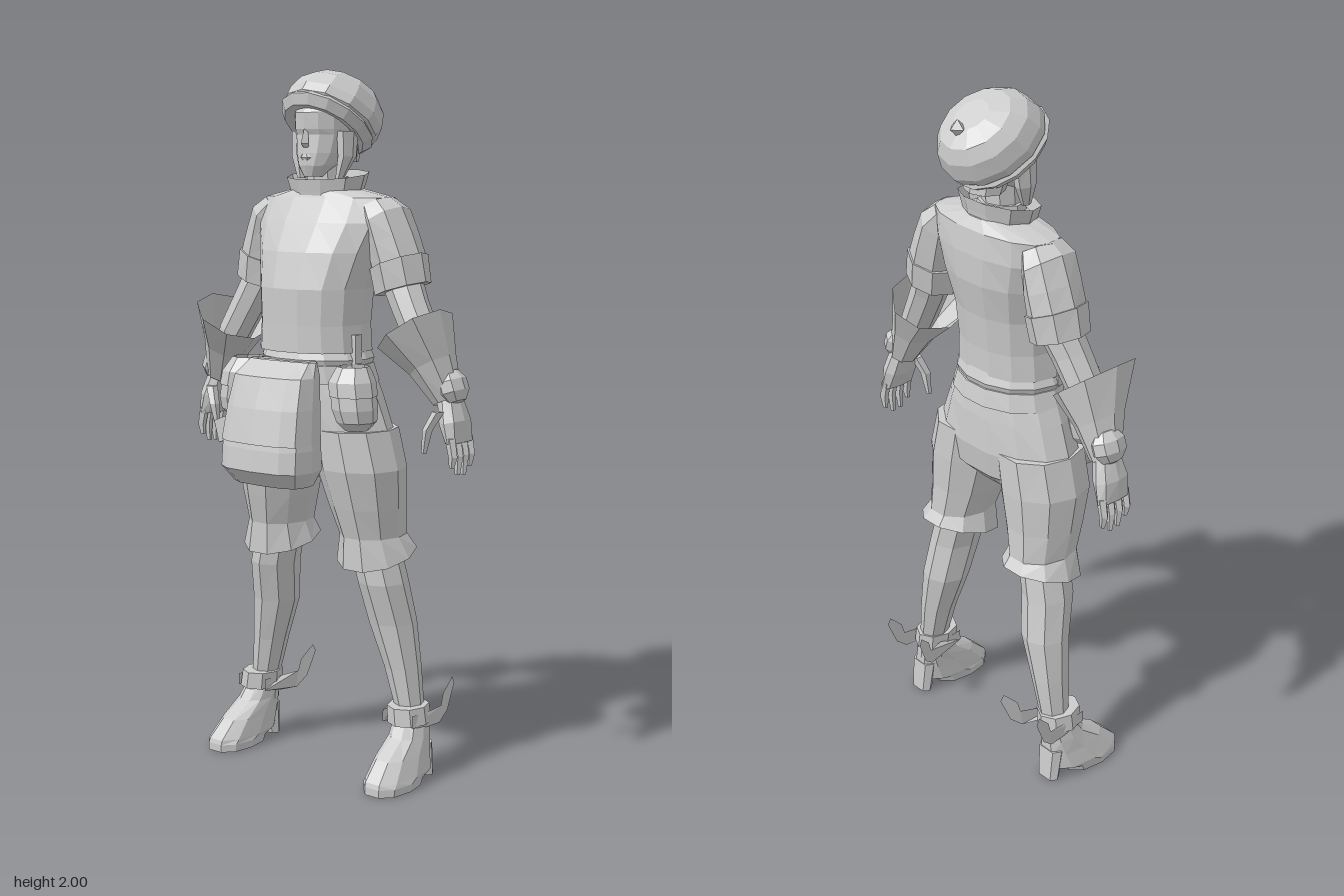
import * as THREE from 'three';

const clay = new THREE.MeshStandardMaterial({ color: 0xcccccc, flatShading: true, side: THREE.DoubleSide });
clay.name = 'light grey';

function add(group, name, geometry) {
  const mesh = new THREE.Mesh(geometry, clay);
  mesh.name = name;
  group.add(mesh);
}

// Skin through rings listed top to bottom: [x, y, z, rx, rz, tiltZ, tiltX]; power < 1 squares the ring
function loft(rings, n = 8, { power = 1, caps = true } = {}) {
  const pos = [], idx = [];
  const bend = v => Math.abs(v) < 1e-6 ? 0 : Math.sign(v) * Math.abs(v) ** power;
  for (const [x, y, z, rx, rz, tz = 0, tx = 0] of rings) {
    for (let i = 0; i < n; i++) {
      const a = i / n * Math.PI * 2;
      const p = new THREE.Vector3(rx * bend(Math.cos(a)), 0, rz * bend(Math.sin(a)));
      p.applyEuler(new THREE.Euler(tx, 0, tz));
      pos.push(x + p.x, y + p.y, z + p.z);
    }
  }
  const last = (rings.length - 1) * n;
  for (let r = 0; r < last; r += n) {
    for (let i = 0; i < n; i++) {
      const j = (i + 1) % n;
      idx.push(r + i, r + j, r + n + i, r + j, r + n + j, r + n + i);
    }
  }
  if (caps) {
    const top = pos.length / 3;
    for (const r of [rings[0], rings[rings.length - 1]]) pos.push(r[0], r[1], r[2]);
    for (let i = 0; i < n; i++) {
      const j = (i + 1) % n;
      idx.push(top, j, i, top + 1, last + i, last + j);
    }
  }
  const g = new THREE.BufferGeometry();
  g.setAttribute('position', new THREE.Float32BufferAttribute(pos, 3));
  g.setIndex(idx);
  g.computeVertexNormals();
  return g;
}

const box = (w, h, d, x, y, z) => new THREE.BoxGeometry(w, h, d).translate(x, y, z);

// Curled ankle leaf drawn in the side plane, leaning sideways as it rises
function leaf(x0, lean) {
  const outline = [[.06, .2], [.06, .165], [.14, .15], [.19, .15], [.225, .18], [.255, .255], [.245, .275], [.205, .235], [.195, .2], [.14, .195]];
  const g = new THREE.ShapeGeometry(new THREE.Shape(outline.map(p => new THREE.Vector2(...p))));
  const p = g.attributes.position;
  for (let i = 0; i < p.count; i++) {
    const u = p.getX(i), v = p.getY(i);
    p.setXYZ(i, x0 + lean * Math.max(0, u - .14), v, -u);
  }
  return g;
}

function buildHead(g) {
  add(g, 'head', loft([
    [0, 1.95, -.09, .06, .07], [0, 1.88, -.07, .08, .095], [0, 1.835, -.065, .08, .087],
    [0, 1.82, -.065, .079, .08], [0, 1.77, -.055, .07, .075], [0, 1.735, -.035, .052, .055],
    [0, 1.705, -.02, .026, .03]], 12));
  add(g, 'nose', loft([[0, 1.835, .014, .007, .009], [0, 1.795, .02, .014, .017], [0, 1.785, .014, .01, .01]], 4));
  add(g, 'mouth', loft([[0, 1.767, .014, .014, .007], [0, 1.758, .014, .02, .01], [0, 1.749, .012, .013, .007]], 6));
  add(g, 'neck', loft([[0, 1.77, -.075, .05, .055], [0, 1.7, -.075, .052, .055], [0, 1.63, -.08, .065, .065]], 8));
  add(g, 'napeHair', loft([[0, 1.82, -.12, .08, .06], [0, 1.745, -.135, .06, .05]], 8));
  // Beret: puffed crown tilted backwards over a rolled band
  add(g, 'beretCrown', loft([
    [0, 1.955, -.175, .05, .05, 0, -.6], [0, 1.94, -.163, .098, .104, 0, -.6], [0, 1.915, -.14, .127, .135, 0, -.6],
    [0, 1.88, -.112, .138, .15, 0, -.6], [0, 1.86, -.09, .134, .146, 0, -.6], [0, 1.84, -.075, .1, .12, 0, -.6]], 12));
  add(g, 'beretBand', new THREE.TorusGeometry(.106, .027, 5, 14)
    .rotateX(Math.PI / 2).scale(1, 1, 1.12).rotateX(-.6).translate(0, 1.85, -.078));
  add(g, 'beretButton', new THREE.OctahedronGeometry(.024).translate(0, 1.93, -.222));
}

function buildTorso(g) {
  // Jacket: broad shoulders running into the sleeves, tapering to the waist
  add(g, 'jacket', loft([
    [0, 1.675, -.09, .085, .078], [0, 1.648, -.094, .215, .094], [0, 1.58, -.078, .218, .118],
    [0, 1.5, -.057, .192, .138], [0, 1.4, -.034, .166, .142], [0, 1.3, -.03, .16, .137], [0, 1.225, -.03, .166, .137]],
    14, { power: .9 }));
  add(g, 'standCollar', loft([[0, 1.71, -.083, .13, .092, 0, .15], [0, 1.675, -.083, .118, .085, 0, .15],
    [0, 1.645, -.083, .105, .08, 0, .1]], 10, { caps: false }));
  add(g, 'neckBand', loft([[0, 1.7, -.075, .062, .066, 0, .1], [0, 1.64, -.08, .072, .07]], 8));
  add(g, 'upperBelt', loft([[0, 1.24, -.04, .155, .125], [0, 1.205, -.04, .172, .138], [0, 1.185, -.04, .165, .132]], 14));
  add(g, 'lowerBelt', loft([[0, 1.19, -.04, .17, .138], [0, 1.14, -.045, .186, .143]], 14));
  add(g, 'shortsSeat', loft([
    [0, 1.19, -.04, .165, .128], [0, 1.1, -.045, .205, .136], [0, 1.0, -.05, .243, .138],
    [0, .92, -.05, .235, .125], [0, .865, -.05, .15, .07]], 14));
  // Front bag with an overhanging flap
  add(g, 'frontBag', loft([
    [0, 1.2, .11, .11, .025], [0, 1.165, .138, .126, .062], [0, 1.08, .152, .134, .076],
    [0, .97, .165, .145, .086], [0, .91, .167, .146, .09], [0, .865, .155, .12, .062]], 12, { power: .65 }));
  add(g, 'bagFlap', loft([[0, 1.205, .112, .115, .028], [0, 1.165, .14, .13, .065], [0, 1.08, .156, .138, .078],
    [0, .985, .169, .145, .086]], 12, { power: .65, caps: false }));
  add(g, 'hangingCloth', box(.14, .065, .005, 0, 0, 0).rotateZ(.35).rotateY(-.2).translate(-.195, 1.0, .115));
}

function buildArm(g) {
  add(g, 'sleeve', loft([
    [.17, 1.63, -.092, .045, .065, .5], [.2, 1.592, -.094, .06, .087, .6], [.22, 1.53, -.098, .067, .087, .4],
    [.237, 1.475, -.1, .072, .085, .35]], 8));
  add(g, 'sleeveCuff', loft([[.237, 1.475, -.1, .08, .09, .35], [.252, 1.4, -.1, .08, .082, .3]], 8));
  add(g, 'forearm', loft([
    [.25, 1.42, -.1, .055, .06, .4], [.285, 1.355, -.09, .052, .055, .45],
    [.345, 1.25, -.08, .048, .052, .5], [.405, 1.13, -.087, .035, .04, .4]], 8));
  add(g, 'gauntlet', loft([[.33, 1.295, -.05, .102, .133, .65], [.375, 1.2, -.072, .062, .08, .55],
    [.415, 1.105, -.088, .04, .046, .4]], 8, { caps: false }));
  add(g, 'wristGuard', new THREE.SphereGeometry(1, 8, 5).scale(.04, .052, .056).rotateZ(.35).translate(.427, 1.145, -.09));
  add(g, 'palm', loft([[.42, 1.11, -.09, .03, .038, .3], [.437, 1.05, -.09, .033, .054, .2],
    [.45, .995, -.092, .021, .056, .1]], 8, { power: .8 }));
  [.93, .908, .905, .925].forEach((tip, i) => {
    const z = -.05 - i * .028;
    add(g, 'finger', loft([[.45, 1.01, z, .016, .013], [.46, .96, z, .014, .012], [.456, tip, z, .008, .007]], 5));
  });
  add(g, 'thumb', loft([[.414, 1.08, -.045, .018, .018], [.39, 1.03, -.03, .015, .016], [.378, .965, -.03, .008, .008]], 5));
}

function buildLeg(g) {
  add(g, 'shortsLeg', loft([
    [.125, 1.01, -.05, .12, .13], [.147, .9, -.053, .127, .13], [.16, .79, -.066, .108, .115],
    [.17, .705, -.08, .09, .106], [.175, .645, -.09, .112, .122, 0, .27]], 10));
  add(g, 'stocking', loft([
    [.17, .69, -.08, .07, .075], [.2, .57, -.088, .07, .077], [.217, .45, -.113, .069, .07],
    [.247, .32, -.122, .052, .056], [.27, .2, -.125, .04, .045], [.28, .12, -.125, .042, .048]], 8));
  add(g, 'ankleBand', loft([[.273, .215, -.112, .056, .068], [.279, .165, -.112, .058, .07]], 8));
  // Shoe with a raised instep and separate heel
  add(g, 'shoe', loft([
    [.277, .185, -.122, .042, .048], [.284, .13, -.105, .05, .068], [.288, .085, -.07, .056, .105],
    [.293, .035, -.04, .065, .127], [.294, .022, -.015, .066, .105], [.294, 0, -.01, .064, .1]], 10, { power: .85 }));
  add(g, 'shoeHeel', loft([[.288, .1, -.15, .042, .025], [.29, 0, -.163, .036, .02]], 6, { power: .6 }));
  add(g, 'outerAnkleLeaf', leaf(.325, .08));
  add(g, 'innerAnkleLeaf', leaf(.222, -.35));
  // Rounded hip pouch and belt fittings
  add(g, 'hipPouch', loft([
    [.19, 1.185, .045, .04, .045], [.195, 1.145, .052, .062, .066], [.205, 1.08, .054, .062, .066],
    [.21, 1.045, .052, .055, .058], [.207, 1.02, .048, .032, .035]], 8));
  add(g, 'pouchLid', loft([[.19, 1.195, .042, .044, .048], [.194, 1.155, .052, .064, .068], [.2, 1.115, .054, .066, .069]],
    8, { caps: false }));
  add(g, 'beltHook', box(.02, .08, .03, .158, 1.235, -.01));
  add(g, 'sideHair', loft([[.08, 1.83, -.07, .022, .04], [.082, 1.76, -.065, .02, .033], [.068, 1.7, -.05, .01, .015]], 6));
}

export function createModel() {
  const model = new THREE.Group();
  model.name = 'adventurer';
  buildHead(model);
  buildTorso(model);
  for (const side of [1, -1]) {
    const half = new THREE.Group();
    half.name = side > 0 ? 'leftLimbs' : 'rightLimbs';
    half.scale.x = side;
    buildArm(half);
    buildLeg(half);
    model.add(half);
  }
  return model;
}
